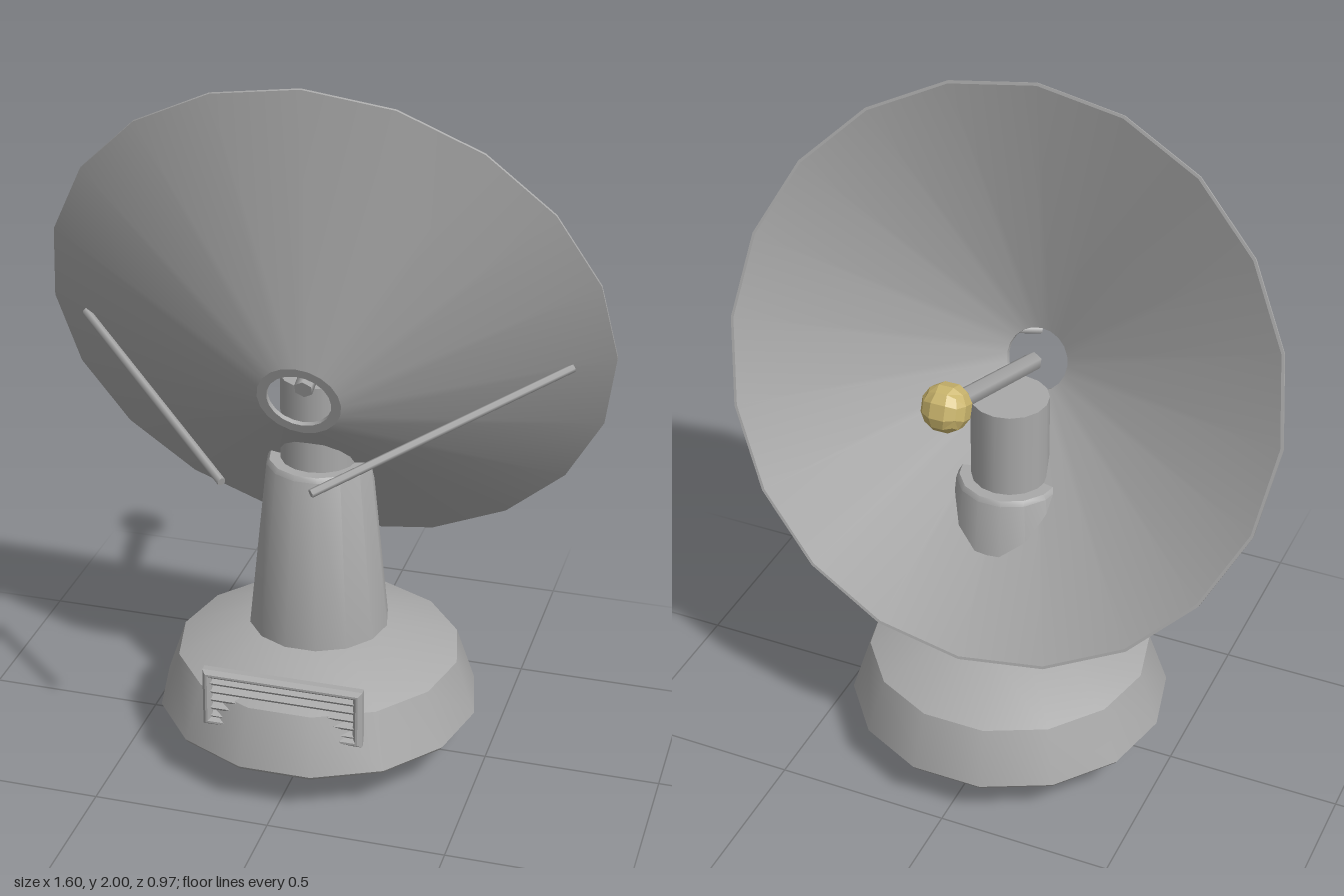
import * as THREE from 'three';
import { toCreasedNormals } from 'three/addons/utils/BufferGeometryUtils.js';

const grey = new THREE.MeshStandardMaterial({ color: 0xa9a9a9 });
grey.name = 'grey metal';
const gold = new THREE.MeshStandardMaterial({ color: 0xc9b46c });
gold.name = 'gold';

const CENTRE_Z = -0.018; // axis of the pedestal

function addMesh(parent, name, geometry, material = grey) {
  const mesh = new THREE.Mesh(geometry, material);
  mesh.name = name;
  parent.add(mesh);
  return mesh;
}

// Turned part from [radius, height] pairs listed bottom to top
function turned(profile, sides, crease, start = 0) {
  const points = profile.map(([r, y]) => new THREE.Vector2(r, y));
  return toCreasedNormals(new THREE.LatheGeometry(points, sides, start), crease);
}

// Rod between two points
function addRod(parent, name, from, to, radius, sides) {
  const a = new THREE.Vector3(...from), b = new THREE.Vector3(...to);
  const dir = b.clone().sub(a);
  const rod = addMesh(parent, name, new THREE.CylinderGeometry(radius, radius, dir.length(), sides));
  rod.position.copy(a).add(b).multiplyScalar(0.5);
  rod.quaternion.setFromUnitVectors(new THREE.Vector3(0, 1, 0), dir.normalize());
  return rod;
}

function createPedestal() {
  const g = new THREE.Group();
  g.name = 'pedestal';
  g.position.z = CENTRE_Z;
  const half = Math.PI / 14;

  // Recessed mounting disc with six bolts below it
  addMesh(g, 'mountingDisc', turned(
    [[0, 0.05], [0.2, 0.05], [0.2, 0.038], [0.23, 0.038], [0.23, 0.13]], 28, 0.5));
  for (let i = 0; i < 6; i++) {
    const a = (i * Math.PI) / 3;
    const bolt = addMesh(g, 'bolt', new THREE.CylinderGeometry(0.022, 0.022, 0.055, 8));
    bolt.position.set(0.14 * Math.cos(a), 0.0275, 0.14 * Math.sin(a));
  }

  // Broad base with a sloped shoulder
  addMesh(g, 'base', turned(
    [[0, 0.118], [0.452, 0.118], [0.459, 0.128], [0.405, 0.288], [0.2, 0.375], [0, 0.375]],
    14, 0.5, half));

  // Tapered column and the neck that carries the dish
  addMesh(g, 'column', turned(
    [[0.2, 0.37], [0.149, 0.872], [0.14, 0.885], [0, 0.885]], 14, 0.5, half));
  const neck = addMesh(g, 'neck', new THREE.CylinderGeometry(0.108, 0.108, 0.26, 16));
  neck.position.y = 1.007;
  return g;
}

function createDish() {
  const g = new THREE.Group();
  g.name = 'dishAssembly';
  g.position.set(0, 1.243, -0.111);
  g.rotation.x = -1.234; // local +y is the axis out of the dish

  // Thin conical shell with a round central opening
  addMesh(g, 'dish', turned(
    [[0.09, -0.31], [0.117, -0.31], [0.8, -0.006], [0.8, 0], [0.792, 0],
      [0.09, -0.296], [0.09, -0.31]], 20, 0.35));

  // Receiver on its boom
  addRod(g, 'receiverBoom', [0, -0.265, 0], [0, 0.31, 0], 0.027, 6);
  const ball = new THREE.BoxGeometry(1, 1, 1, 3, 3, 3).toNonIndexed();
  const p = ball.attributes.position;
  const v = new THREE.Vector3();
  for (let i = 0; i < p.count; i++) {
    v.fromBufferAttribute(p, i).normalize().multiplyScalar(0.067);
    p.setXYZ(i, v.x, v.y, v.z);
  }
  ball.computeVertexNormals();
  addMesh(g, 'receiver', ball, gold).position.y = 0.327;
  return g;
}

function createGrille() {
  const g = new THREE.Group();
  g.name = 'ventGrille';
  g.position.set(0, 0.289, 0.344);

  // Rectangular frame with chamfered edges
  const rect = (path, w, h) => path.moveTo(-w, -h).lineTo(w, -h).lineTo(w, h).lineTo(-w, h).closePath();
  const shape = rect(new THREE.Shape(), 0.218, 0.077);
  shape.holes.push(rect(new THREE.Path(), 0.212, 0.071));
  const frame = new THREE.ExtrudeGeometry(shape, {
    depth: 0.02, bevelSize: 0.01, bevelThickness: 0.012, bevelSegments: 1,
  });
  frame.translate(0, 0, -0.01);
  addMesh(g, 'grilleFrame', frame);

  // Slanted slats
  for (let i = 0; i < 5; i++) {
    const slat = addMesh(g, 'slat', new THREE.BoxGeometry(0.43, 0.01, 0.03));
    slat.position.y = -0.052 + i * 0.026;
    slat.rotation.x = 0.6;
  }
  return g;
}

export function createModel() {
  const model = new THREE.Group();
  model.name = 'satelliteDish';
  model.add(createPedestal(), createDish(), createGrille());

  // Struts reaching forward from the back of the dish
  for (const [side, name] of [[1, 'leftStrut'], [-1, 'rightStrut']]) {
    addRod(model, name, [side * 0.69, 1.22, -0.06], [side * 0.12, 1.03, 0.48], 0.012, 6);
  }
  return model;
}
